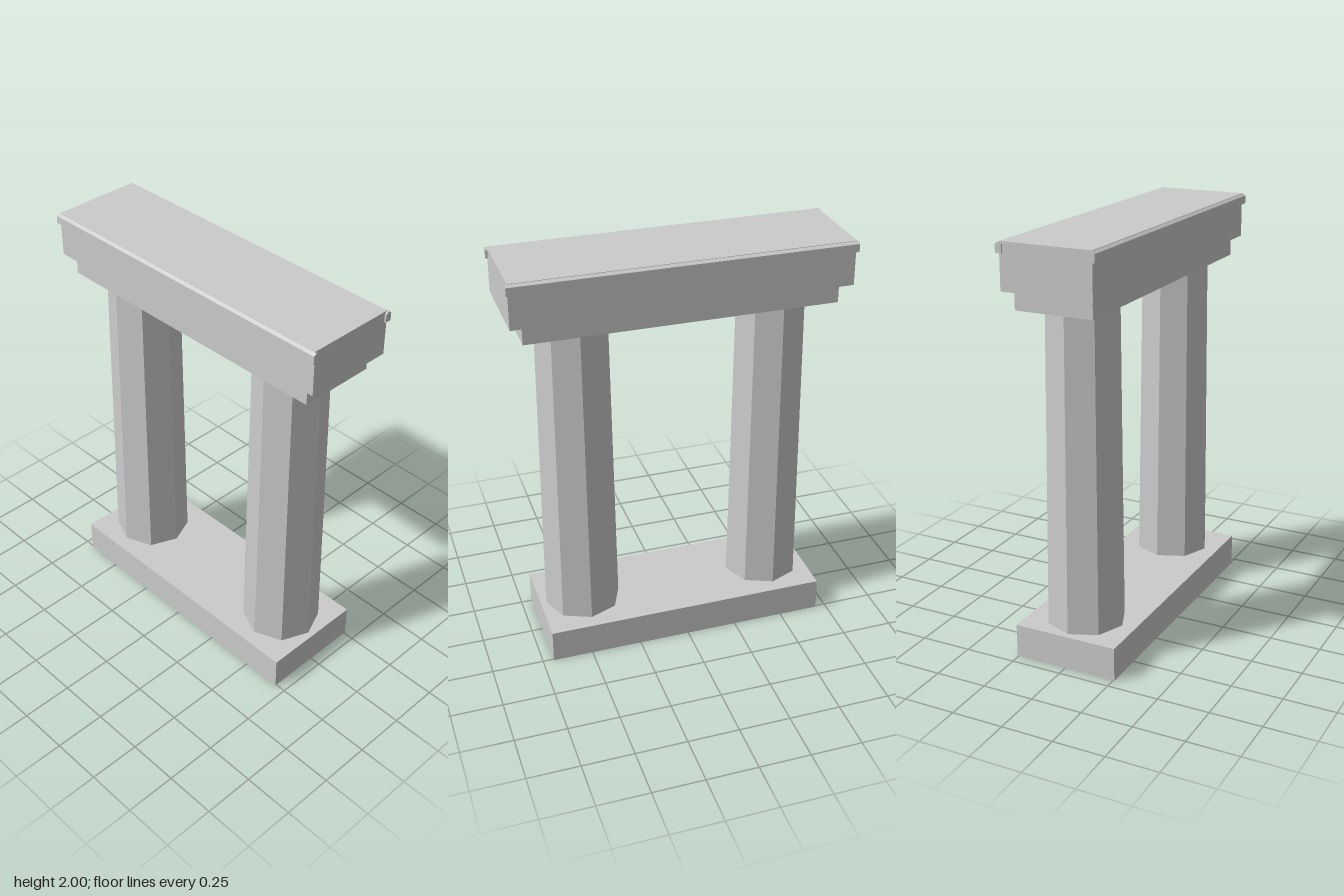
import * as THREE from 'three';

export function createModel() {
  const model = new THREE.Group();
  const stone = new THREE.MeshStandardMaterial({ color: 0xcccccc, flatShading: true });

  const add = (name, geometry, x = 0, y = 0, z = 0) => {
    const mesh = new THREE.Mesh(geometry, stone);
    mesh.name = name;
    mesh.position.set(x, y, z);
    model.add(mesh);
    return mesh;
  };

  // Slab standing between two heights
  const slab = (name, width, depth, y0, y1) =>
    add(name, new THREE.BoxGeometry(width, y1 - y0, depth), 0, (y0 + y1) / 2, 0);

  slab('base', 1.394, 0.514, 0, 0.163);
  slab('architrave', 1.478, 0.376, 1.694, 1.785);
  slab('frieze', 1.594, 0.44, 1.785, 2);

  // Tapered eight-sided columns, an edge facing forward
  const columnHeight = 1.694 - 0.163;
  for (const [side, name] of [[1, 'leftColumn'], [-1, 'rightColumn']]) {
    add(name, new THREE.CylinderGeometry(0.172, 0.188, columnHeight, 8),
      side * 0.48, 0.163 + columnHeight / 2, 0);
  }

  // Moulding strips with a low ridge, along the front and back top edges
  const profile = new THREE.Shape([
    [-0.015, 0], [0.015, 0], [0.015, 0.038], [0, 0.048], [-0.015, 0.038],
  ].map(([x, y]) => new THREE.Vector2(x, y)));
  const length = 1.612;
  const strip = new THREE.ExtrudeGeometry(profile, { depth: length, bevelEnabled: false });
  strip.translate(0, 0, -length / 2).rotateY(Math.PI / 2);
  for (const [side, name] of [[1, 'frontMoulding'], [-1, 'backMoulding']]) {
    add(name, strip, 0, 1.95, side * 0.22);
  }

  return model;
}
